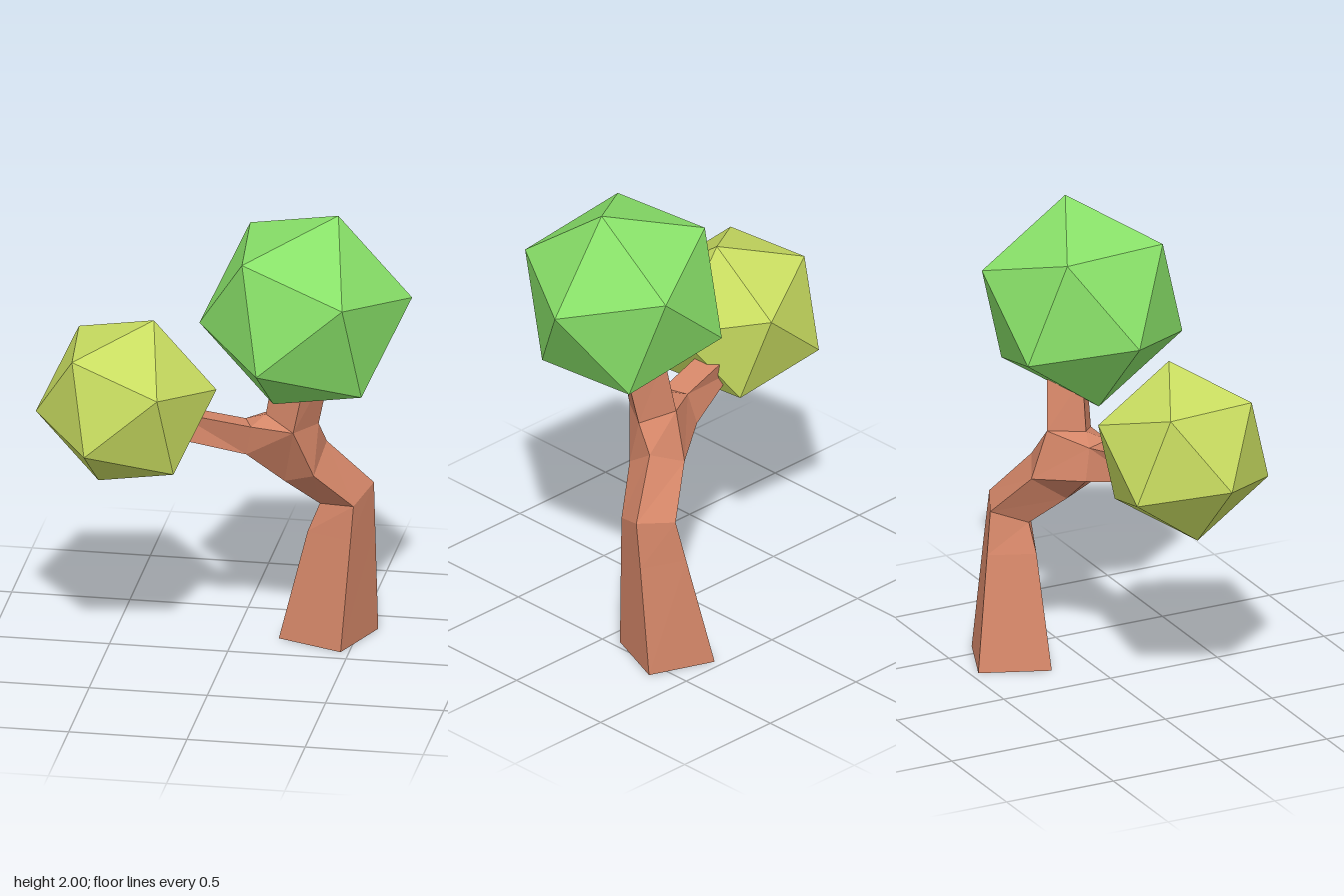
import * as THREE from 'three';

// Flat-shaded mesh from outward-wound polygons (each an array of [x, y, z] corners)
function polygonMesh(name, polygons, color) {
  const positions = [];
  for (const p of polygons) {
    for (let i = 1; i < p.length - 1; i++) positions.push(...p[0], ...p[i], ...p[i + 1]);
  }
  const geometry = new THREE.BufferGeometry();
  geometry.setAttribute('position', new THREE.Float32BufferAttribute(positions, 3));
  geometry.computeVertexNormals();
  const mesh = new THREE.Mesh(geometry, new THREE.MeshStandardMaterial({ color, flatShading: true }));
  mesh.name = name;
  return mesh;
}

// Side quads between successive four-cornered rings
function skin(rings) {
  const faces = [];
  for (let r = 0; r < rings.length - 1; r++) {
    const a = rings[r], b = rings[r + 1];
    for (let i = 0; i < a.length; i++) {
      const j = (i + 1) % a.length;
      faces.push([a[i], a[j], b[j], b[i]]);
    }
  }
  return faces;
}

// Tilted icosahedron; two neighbouring corner directions fix its orientation
function foliage(name, color, center, radius) {
  const a = new THREE.Vector3(0.1375, 0.4285, -0.01).normalize();
  const b = new THREE.Vector3(-0.227, 0.289, 0.265).normalize();
  const x = a.clone().sub(b).normalize();
  const y = a.clone().add(b).normalize();
  const z = x.clone().cross(y).normalize();
  y.crossVectors(z, x);
  const geometry = new THREE.IcosahedronGeometry(radius, 0);
  geometry.applyMatrix4(new THREE.Matrix4().makeBasis(x, y, z));
  const mesh = new THREE.Mesh(geometry, new THREE.MeshStandardMaterial({ color, flatShading: true }));
  mesh.name = name;
  mesh.position.set(...center);
  return mesh;
}

export function createModel() {
  const tree = new THREE.Group();
  tree.name = 'tree';
  const bark = 0xd48668;

  // Trunk rings, corners ordered left, front, right, back
  const base = [[0.185, 0, -0.18], [0.465, 0, -0.07], [0.575, 0, -0.355], [0.3, 0, -0.465]];
  const swell = [[0.305, 0.485, -0.19], [0.5, 0.485, -0.112], [0.572, 0.485, -0.3], [0.384, 0.485, -0.381]];
  const bend = [[0.355, 0.61, -0.2], [0.51, 0.635, -0.125], [0.571, 0.69, -0.275], [0.415, 0.665, -0.35]];
  const fork = [[0.225, 0.745, -0.09], [0.36, 0.803, -0.02], [0.39, 0.905, -0.17], [0.255, 0.85, -0.24]];
  tree.add(polygonMesh('trunk', [[...base].reverse(), ...skin([base, swell, bend, fork])], bark));

  // Upright branch rising into the large crown
  const upper = [[0.155, 1.063, -0.035], [0.286, 1.02, 0.055], [0.37, 1.016, -0.085], [0.24, 1.06, -0.175]];
  const upperEnd = [[0.195, 1.29, -0.03], [0.34, 1.28, 0.06], [0.43, 1.3, -0.06], [0.285, 1.32, -0.15]];
  tree.add(polygonMesh('upperBranch', [...skin([upper, upperEnd]), upperEnd], bark));

  // Side branch rings, corners ordered low front, top front, top back, low back
  const side = [[0.08, 0.894, 0.01], [0.105, 1.03, 0.04], [0.065, 1.026, -0.065], [0.04, 0.89, -0.095]];
  const sideEnd = [[-0.22, 0.985, 0.105], [-0.2, 1.09, 0.085], [-0.24, 1.085, -0.02], [-0.26, 0.98, 0]];
  tree.add(polygonMesh('sideBranch', [...skin([side, sideEnd]), sideEnd], bark));

  // Fork joining the trunk to both branches
  const [l2, f2, r2, b2] = fork;
  const [l3, f3, r3, b3] = upper;
  const [c, d, g, e] = side;
  tree.add(polygonMesh('forkJoint', [
    [f2, r2, r3, f3],
    [r2, b2, b3, r3],
    [f3, c, l2, f2],
    [f3, l3, d, c],
    [l3, b3, g, d],
    [b2, e, g, b3],
    [l2, c, e, b2],
  ], bark));

  // Crowns
  tree.add(foliage('largeCrown', 0x88e068, [0.337, 1.572, 0.04], 0.45));
  tree.add(foliage('smallCrown', 0xc8dc60, [-0.407, 1.152, 0.132], 0.382));
  return tree;
}
